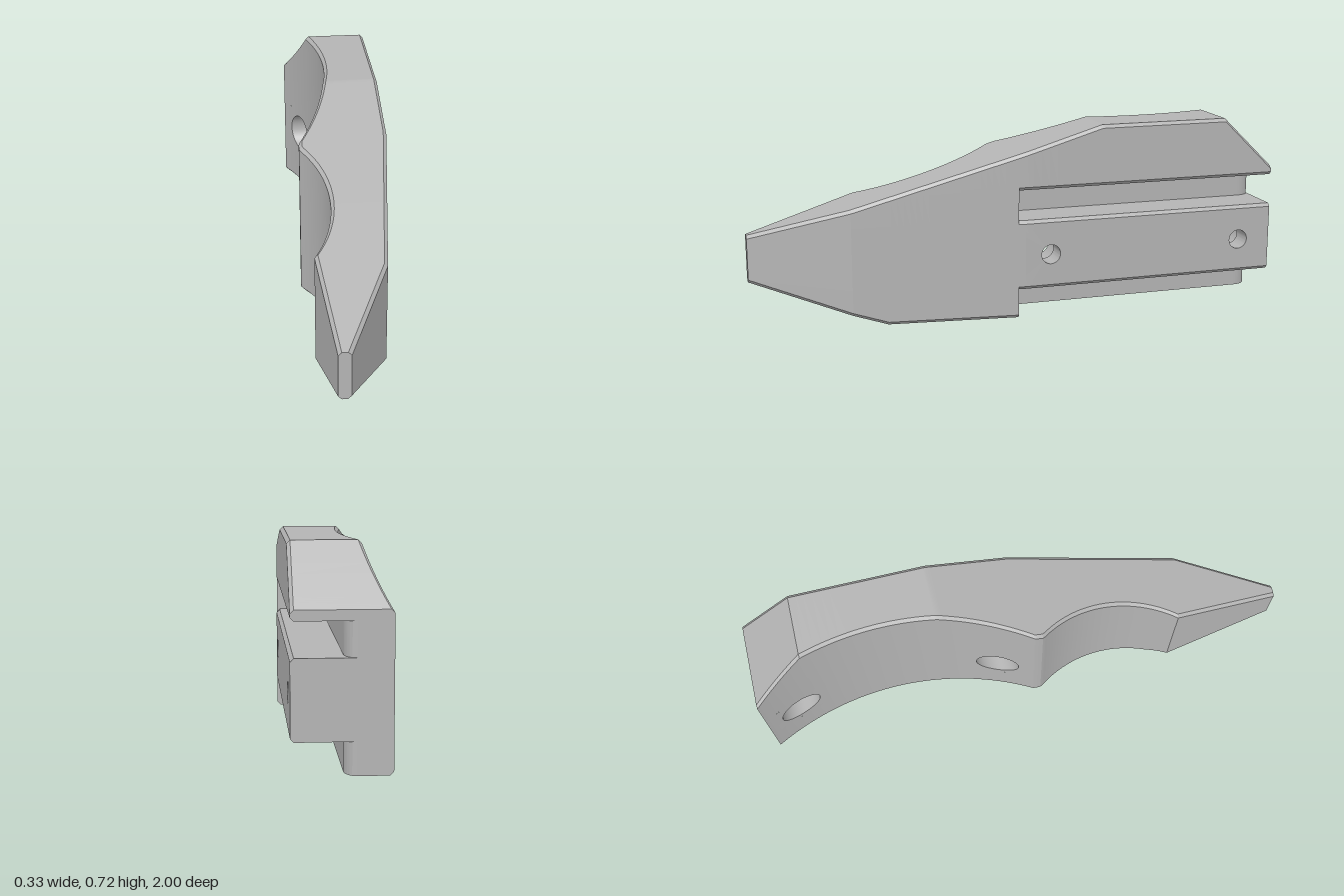
import * as THREE from 'three';
import { toCreasedNormals } from 'three/addons/utils/BufferGeometryUtils.js';

const C = 0.012;                 // edge chamfer
const HOLE_Y = 0.24, HALF = 0.1; // hole height, half size of the wall patch around it
const HOLES = [-0.1, -0.87];
const SLOT_Z = 0.025;            // slots run from here to the back
const { clamp, mapLinear } = THREE.MathUtils;

// Piecewise linear lookup over points [z, value] with falling z
function along(points, z) {
  for (let i = 0; i < points.length - 1; i++) {
    const [z0, v0] = points[i], [z1, v1] = points[i + 1];
    if (z >= z1) return mapLinear(z, z0, z1, v0, v1);
  }
  return points[points.length - 1][1];
}
const topY = z => along([[1, 0.335], [-0.3, 0.72], [-0.8, 0.72], [-1, 0.525]], z);
const bottomY = z => along([[1, 0.155], [0.51, 0], [-1, 0]], z);
const outerX = z => along([[1, -0.07], [0.64, 0.09], [0, 0.165], [-1, 0.165]], z);

// Scalloped side: straight nose, small arc, blunt tip, large arc
function innerX(z) {
  if (z >= 0.59) return mapLinear(z, 1, 0.59, -0.115, -0.155);
  const arc = z > 0.03
    ? -0.5326 + Math.sqrt(0.2076 - (z - 0.335) ** 2)
    : -1.095 + Math.sqrt(1.134 - (z + 0.49) ** 2);
  return Math.max(-0.167, arc);
}

// Slot floor, rounded off at the back end
function floorX(z) {
  const t = clamp((-0.94 - z) / 0.06, 0, 1);
  return -0.005 - 0.04 * (1 - Math.sqrt(1 - t * t));
}

// Cross-section, counter-clockwise seen from the front
function section(z, slotted) {
  const l = innerX(z), r = outerX(z), b = bottomY(z), t = topY(z), f = floorX(z);
  const mid = y => clamp(y, b + C, t - C);
  const lo = HOLE_Y - HALF, hi = HOLE_Y + HALF;
  const right = slotted
    ? [[f, b], [f, 0.11], [r - C, 0.11], [r, 0.11 + C], [r, lo], [r, hi],
      [r, 0.375 - C], [r - C, 0.375], [f, 0.375], [f, 0.49], [r - C, 0.49], [r, 0.49 + C]]
    : [[r - C, b], [r, b + C], [r, mid(0.11)], [r, mid(0.11 + C)], [r, mid(lo)], [r, mid(hi)],
      [r, mid(0.375 - C)], [r, mid(0.375)], [r, mid(0.375)], [r, mid(0.49)], [r, mid(0.49)], [r, mid(0.49 + C)]];
  return [[l, b + C], [l + C, b], ...right,
    [r, t - C], [r - C, t], [l + C, t], [l, t - C], [l, mid(hi)], [l, mid(lo)]]
    .map(([x, y]) => new THREE.Vector3(x, y, z));
}
const OUTER_WALL = 6, INNER_WALL = 18; // section edges that carry the holes

function buildBody() {
  const out = [];
  const area = new THREE.Triangle();
  const tri = (a, b, c) => {
    if (area.set(a, b, c).getArea() > 1e-9) out.push(...a.toArray(), ...b.toArray(), ...c.toArray());
  };

  // Stations from nose to back
  const stations = [1, 0.64, 0.59, 0.51, SLOT_Z, 0, -0.2, -0.3, -0.77, -0.8, -0.97, -1];
  for (let i = 1; i < 24; i++) stations.push(0.59 - 0.0235 * i);
  for (let i = 1; i < 32; i++) stations.push(-0.031 * i);
  for (let i = 0; i < 12; i++) stations.push(-0.94 - 0.005 * i);
  for (let i = 1; i < 8; i++) stations.push(0.01 * i);
  stations.sort((a, b) => b - a);
  const rows = [];
  for (const z of stations) {
    if (z >= SLOT_Z) rows.push(section(z, false));
    if (z <= SLOT_Z) rows.push(section(z, true));
  }

  // Skin, left open where the hole patches go
  for (let i = 0; i < rows.length - 1; i++) {
    const p = rows[i], q = rows[i + 1], n = p.length;
    const zm = (p[0].z + q[0].z) / 2;
    const atHole = HOLES.some(z => Math.abs(z - zm) < HALF);
    for (let j = 0; j < n; j++) {
      if (atHole && (j === OUTER_WALL || j === INNER_WALL)) continue;
      const k = (j + 1) % n;
      tri(p[j], q[j], p[k]);
      tri(p[k], q[j], q[k]);
    }
  }

  // End faces
  const cap = (row, flip) => {
    const pts = row.filter((p, i) => i === 0 || p.distanceTo(row[i - 1]) > 1e-6);
    const flat = pts.map(p => new THREE.Vector2(p.x, p.y));
    for (const [a, b, c] of THREE.ShapeUtils.triangulateShape(flat, [])) {
      if (flip) tri(pts[a], pts[c], pts[b]);
      else tri(pts[a], pts[b], pts[c]);
    }
  };
  cap(rows[0], false);
  cap(rows[rows.length - 1], true);

  // Counterbored bolt holes, each with a square wall patch at both ends
  const N = 40;
  const ring = (zc, radius, xAt, square) => Array.from({ length: N }, (_, i) => {
    const a = (i / N) * Math.PI * 2, c = Math.cos(a), s = Math.sin(a);
    const k = square ? radius / Math.max(Math.abs(c), Math.abs(s)) : radius;
    const z = zc + k * c;
    return new THREE.Vector3(xAt(z), HOLE_Y + k * s, z);
  });
  for (const zc of HOLES) {
    const ledge = () => 0.08;
    const rings = [
      ring(zc, HALF, innerX, true), ring(zc, 0.077, innerX), ring(zc, 0.077, ledge),
      ring(zc, 0.037, ledge), ring(zc, 0.037, outerX), ring(zc, HALF, outerX, true),
    ];
    for (let i = 0; i < rings.length - 1; i++) {
      for (let j = 0; j < N; j++) {
        const k = (j + 1) % N, p = rings[i], q = rings[i + 1];
        tri(p[j], p[k], q[j]);
        tri(p[k], q[k], q[j]);
      }
    }
  }

  const geometry = new THREE.BufferGeometry();
  geometry.setAttribute('position', new THREE.Float32BufferAttribute(out, 3));
  return toCreasedNormals(geometry, 0.3);
}

export function createModel() {
  const group = new THREE.Group();
  group.name = 'slottedGrip';
  const grey = new THREE.MeshStandardMaterial({ color: 0xb4b4b4 });
  grey.name = 'plain grey';
  const body = new THREE.Mesh(buildBody(), grey);
  body.name = 'gripBody';
  group.add(body);
  return group;
}
